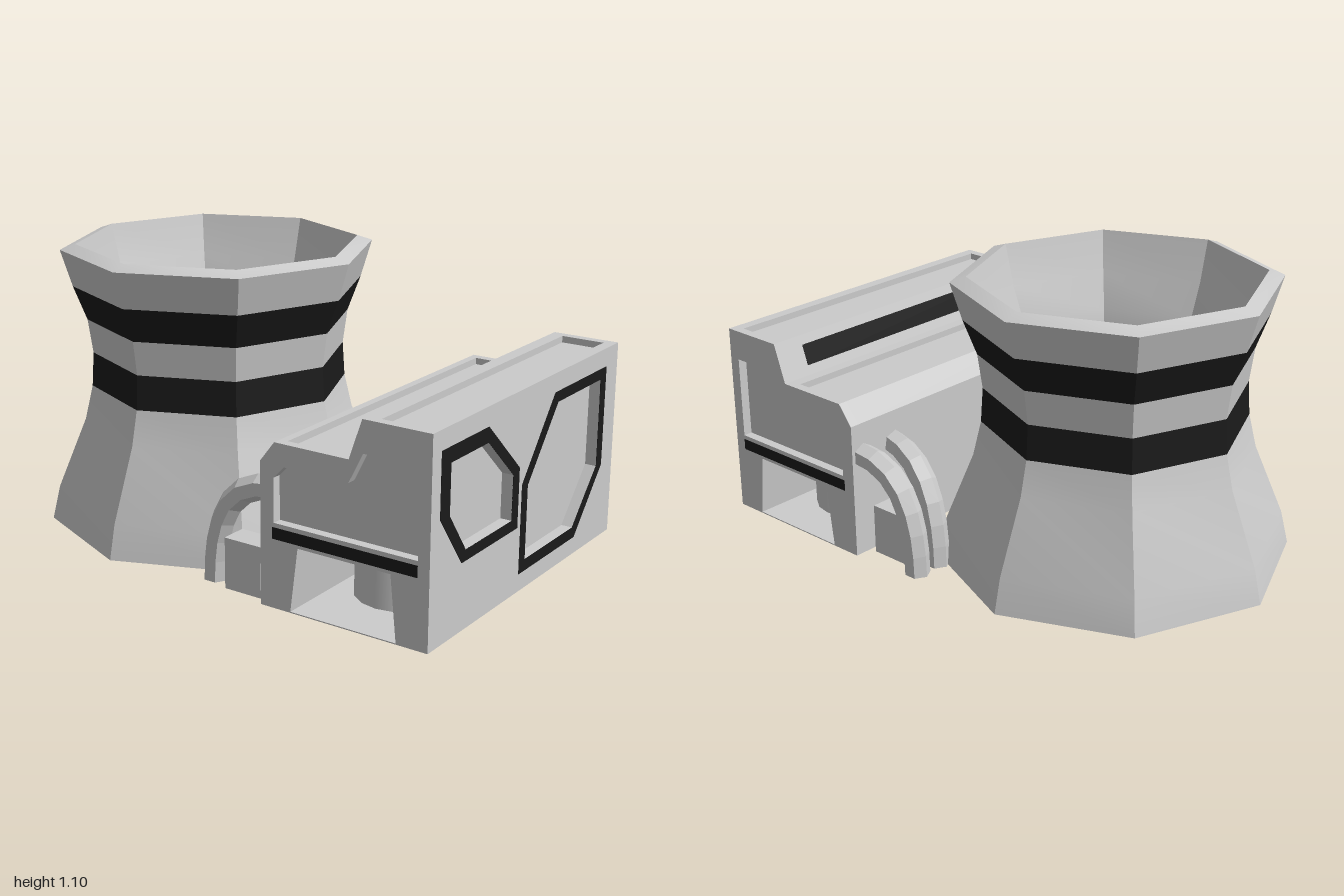
import * as THREE from 'three';
import { toCreasedNormals } from 'three/addons/utils/BufferGeometryUtils.js';

const grey = new THREE.MeshStandardMaterial({ color: 0xcccccc, flatShading: true });
const smooth = new THREE.MeshStandardMaterial({ color: 0xcccccc });
const black = new THREE.MeshStandardMaterial({ color: 0x1a1a1a });

const v2 = (pts) => pts.map(([x, y]) => new THREE.Vector2(x, y));

function add(parent, name, geometry, material = grey) {
  const mesh = new THREE.Mesh(geometry, material);
  mesh.name = name;
  parent.add(mesh);
  return mesh;
}

// Box given by its limits on each axis
function block(x0, x1, y0, y1, z0, z1) {
  return new THREE.BoxGeometry(x1 - x0, y1 - y0, z1 - z0)
    .translate((x0 + x1) / 2, (y0 + y1) / 2, (z0 + z1) / 2);
}

// Outline with holes in the xy plane, extruded from z0 to z1
function slab(outline, holes, z0, z1) {
  const points = v2(outline);
  // A counter-clockwise outline makes the hole walls face into the hole
  if (THREE.ShapeUtils.isClockWise(points)) points.reverse();
  const shape = new THREE.Shape(points);
  for (const h of holes) shape.holes.push(new THREE.Path(v2(h)));
  return new THREE.ExtrudeGeometry(shape, { depth: z1 - z0, bevelEnabled: false }).translate(0, 0, z0);
}

// Outline given as (z, y), extruded from x0 to x1
function sideSlab(outline, holes, x0, x1) {
  const flip = (pts) => pts.map(([z, y]) => [-z, y]);
  return slab(flip(outline), holes.map(flip), x0, x1).rotateY(Math.PI / 2);
}

// Eight-sided hollow tower: smooth along its height, sharp at the corners
function buildTower() {
  const tower = new THREE.Group();
  tower.name = 'coolingTower';
  tower.position.set(-0.34, 0, 0.008);
  const ring = (name, pts, mat = smooth) =>
    add(tower, name, toCreasedNormals(new THREE.LatheGeometry(v2(pts), 8), 0.5), mat);
  ring('towerUnderside', [[0, 0.11], [0.63, 0.11], [0.66, 0.02]]);
  ring('towerBase', [[0.66, 0.02], [0.63, 0.15], [0.52, 0.42], [0.49, 0.55]]);
  ring('lowerBand', [[0.49, 0.55], [0.482, 0.68]], black);
  ring('towerNeck', [[0.482, 0.68], [0.5, 0.81]]);
  ring('upperBand', [[0.5, 0.81], [0.55, 0.94]], black);
  ring('towerRim', [[0.55, 0.94], [0.593, 1.08], [0.535, 1.1]]);
  ring('towerInterior', [
    [0.535, 1.1], [0.495, 0.94], [0.445, 0.81], [0.43, 0.68], [0.435, 0.55], [0.465, 0.42], [0.6, 0.12], [0, 0.12],
  ]);
  return tower;
}

function buildHouse() {
  const house = new THREE.Group();
  house.name = 'machineHouse';
  const zBack = -0.67, zFront = 0.655, d = 0.035, xIn = 0.957;
  const arch = [[0.88, 0.02], [0.855, 0.26], [0.49, 0.26], [0.46, 0.02]];

  // Long core, with the two roof recesses cut into its profile
  add(house, 'houseCore', slab([
    [0.337, 0.02], [0.337, 0.54], [0.395, 0.615], [0.425, 0.615], [0.425, 0.59], [0.645, 0.59],
    [0.645, 0.615], [0.69, 0.615], [0.74, 0.76], [0.79, 0.76], [0.79, 0.735], [xIn, 0.735],
    [xIn, 0.02], ...arch,
  ], [], zBack + d, zFront - d));

  // End walls with a recessed panel and a dark strip
  const panel = [[0.392, 0.33], [0.956, 0.33], [0.956, 0.645], [0.745, 0.645], [0.69, 0.535], [0.435, 0.535], [0.392, 0.49]];
  const wall = [[0.337, 0.02], [0.337, 0.54], [0.395, 0.615], [0.69, 0.615], [0.74, 0.76], [1, 0.76], [1, 0.02], ...arch];
  for (const [end, z0, z1, zFace] of [['front', zFront - d, zFront, zFront], ['back', zBack, zBack + d, zBack]]) {
    add(house, end + 'Wall', slab(wall, [panel], z0, z1));
    add(house, end + 'Strip', block(0.386, 0.956, 0.272, 0.314, zFace - 0.001, zFace + 0.001), black);
  }

  // Side wall with two deep framed windows
  const windows = [
    {
      outer: [[0.6, 0.69], [0.3, 0.69], [0.075, 0.485], [0.075, 0.265], [0.455, 0.265], [0.6, 0.46]],
      inner: [[0.54, 0.635], [0.3, 0.635], [0.118, 0.47], [0.118, 0.305], [0.43, 0.305], [0.54, 0.455]],
    },
    {
      outer: [[-0.17, 0.69], [-0.578, 0.69], [-0.578, 0.31], [-0.375, 0.085], [0.052, 0.085], [0.052, 0.415]],
      inner: [[-0.195, 0.65], [-0.535, 0.65], [-0.535, 0.315], [-0.36, 0.127], [0.01, 0.127], [0.01, 0.402]],
    },
  ];
  const z0 = zBack + d, z1 = zFront - d;
  add(house, 'sideWall', sideSlab([[z0, 0.02], [z1, 0.02], [z1, 0.76], [z0, 0.76]], windows.map((w) => w.inner), xIn, 1));
  for (const w of windows) add(house, 'windowFrame', sideSlab(w.outer, [w.inner], 0.999, 1.001), black);

  // Dark strip on the sloping step of the roof
  const strip = add(house, 'roofStrip', new THREE.BoxGeometry(0.003, 0.08, 1.08), black);
  strip.position.set(0.715, 0.6875, -0.005);
  strip.rotation.z = -Math.atan2(0.05, 0.145);

  // Tunnel floor and the two round feet standing through it
  add(house, 'floorPlate', block(0.455, 0.885, 0.02, 0.024, zBack, zFront));
  for (const z of [0.3, -0.34]) {
    add(house, 'roundFoot', new THREE.CylinderGeometry(0.167, 0.167, 0.22, 16), smooth).position.set(0.68, 0.11, z);
  }
  return house;
}

// Six-sided pipe bending in one plane from the house wall down to the ground
function buildPipe(zGround, zWall) {
  const path = new THREE.CubicBezierCurve3(
    new THREE.Vector3(0.073, 0.02, zGround), new THREE.Vector3(0.073, 0.27, zGround),
    new THREE.Vector3(0.15, 0.415, THREE.MathUtils.lerp(zGround, zWall, 0.28)), new THREE.Vector3(0.35, 0.415, zWall));
  const section = [];
  for (let i = 0; i < 6; i++) {
    const a = (i * Math.PI) / 3;
    section.push(new THREE.Vector2(0.047 * Math.sin(a), 0.047 * Math.cos(a)));
  }
  return new THREE.ExtrudeGeometry(new THREE.Shape(section), { steps: 7, extrudePath: path, bevelEnabled: false });
}

export function createModel() {
  const model = new THREE.Group();
  model.name = 'powerPlant';
  model.add(buildTower(), buildHouse());
  for (const [a, b] of [[0.563, 0.563], [-0.615, -0.615], [-0.513, -0.458]]) add(model, 'pipe', buildPipe(a, b));
  // Small blocks under the pipes
  add(model, 'frontPipeBlock', block(0.155, 0.31, 0.02, 0.21, 0.52, 0.62));
  add(model, 'backPipeBlock', block(0.155, 0.31, 0.02, 0.21, -0.6, -0.48));
  return model;
}
